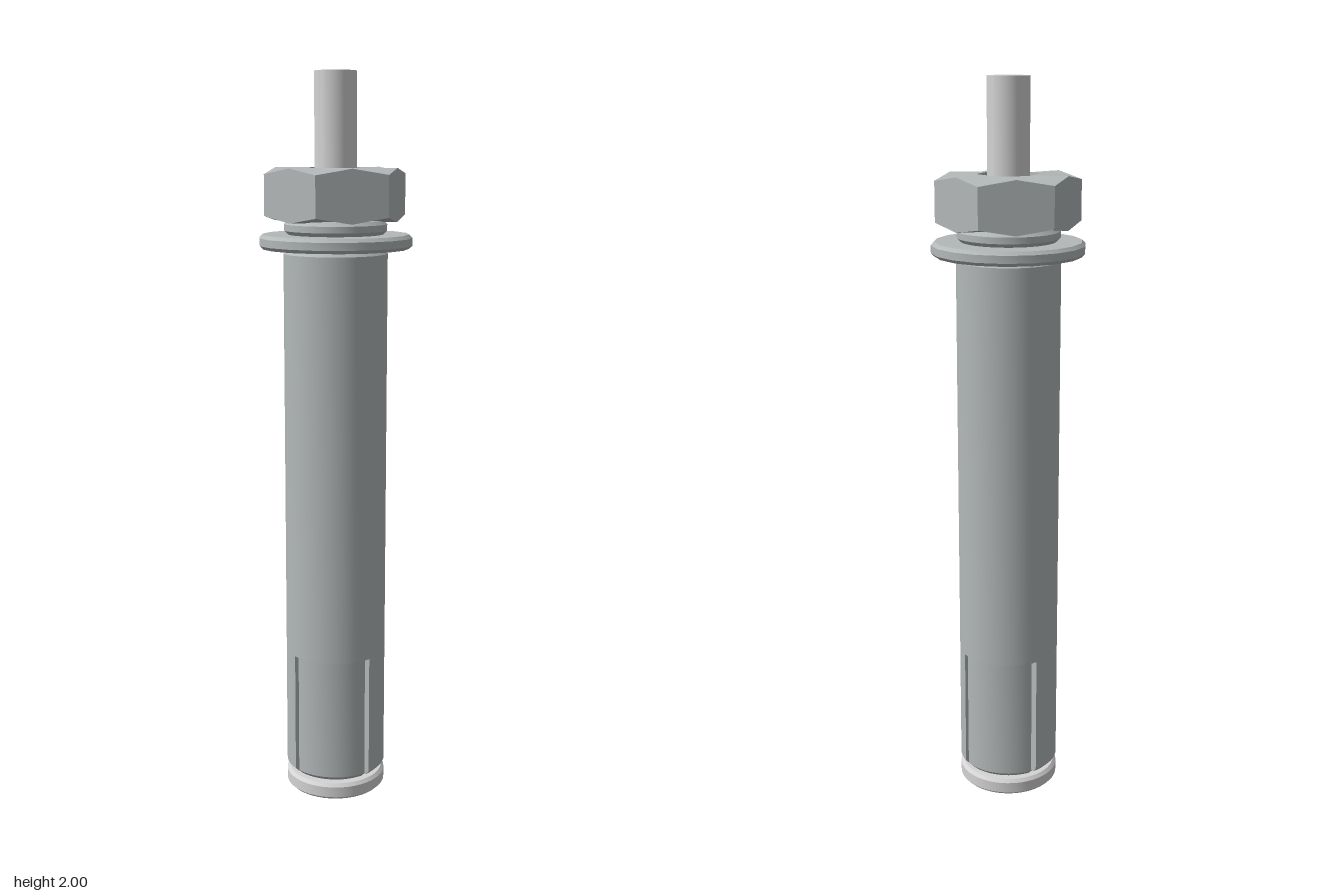
import * as THREE from 'three';
import { toCreasedNormals } from 'three/addons/utils/BufferGeometryUtils.js';

const zinc = new THREE.MeshStandardMaterial({ color: 0xb3b8b8, side: THREE.DoubleSide });
zinc.name = 'zinc grey';
const steel = new THREE.MeshStandardMaterial({ color: 0xd4d4d4 });
steel.name = 'light steel';

const vectors = (pts) => pts.map(([r, y]) => new THREE.Vector2(r, y));

// Turned part with crisp edges; the profile runs up the outside
function turned(name, pts, sides, material, start = Math.PI / 2, length = Math.PI * 2) {
  const geo = new THREE.LatheGeometry(vectors(pts), sides, start, length);
  const mesh = new THREE.Mesh(toCreasedNormals(geo, 0.5), material);
  mesh.name = name;
  return mesh;
}

// Ring with chamfered outer edges
function ringProfile(inner, outer, y0, y1, c) {
  return [
    [inner, y0], [outer - c, y0], [outer, y0 + c], [outer, y1 - c],
    [outer - c, y1], [inner, y1], [inner, y0],
  ];
}

// Hexagonal nut: a 12-sided ring pulled into a hexagon with lowered corners
function makeNut(y0, y1) {
  const mid = (y0 + y1) / 2;
  const profile = [[0.084, y0], [0.194, y0], [0.194, y1], [0.084, y1], [0.084, y0]];
  const geo = new THREE.LatheGeometry(vectors(profile), 12, Math.PI / 2);
  const p = geo.attributes.position;
  for (let i = 0; i < p.count; i++) {
    const x = p.getX(i), y = p.getY(i), z = p.getZ(i);
    if (Math.cos(6 * Math.atan2(z, x)) > 0) {
      if (Math.hypot(x, z) > 0.15) p.setY(i, y - Math.sign(y - mid) * 0.016);
    } else {
      const k = Math.cos(Math.PI / 6);
      p.setXYZ(i, x * k, y, z * k);
    }
  }
  const mesh = new THREE.Mesh(toCreasedNormals(geo, 0.5), zinc);
  mesh.name = 'hexNut';
  return mesh;
}

// Expansion sleeve: plain tube above, four fingers separated by slits below
function makeSleeve() {
  const group = new THREE.Group();
  group.name = 'expansionSleeve';
  const R = 0.14, inner = 0.112, bottom = 0.057, split = 0.41, top = 1.54, c = 0.012;
  group.add(turned('sleeveTube', [
    [inner, split], [R, split], [R, top - c], [R - c, top], [0.057, top],
    [0.057, top - 0.03], [inner, top - 0.03], [inner, split],
  ], 48, zinc));

  const finger = [[inner, split], [inner, bottom], [R - c, bottom], [R, bottom + c], [R, split]];
  const gap = 0.016 / R, offset = -0.1;
  for (let i = 0; i < 4; i++) {
    const start = offset + i * Math.PI / 2 + gap / 2;
    const length = Math.PI / 2 - gap;
    group.add(turned('sleeveFinger', finger, 12, zinc, start, length));
    // flat walls of the slits
    for (const phi of [start, start + length]) {
      const wall = new THREE.Mesh(new THREE.ShapeGeometry(new THREE.Shape(vectors(finger))), zinc);
      wall.rotation.y = phi - Math.PI / 2;
      wall.name = 'slitWall';
      group.add(wall);
    }
  }
  return group;
}

export function createModel() {
  const model = new THREE.Group();
  model.name = 'expansionAnchorBolt';

  // Rod with its flared foot
  model.add(turned('boltRod', [
    [0, 0], [0.132, 0], [0.14, 0.008], [0.14, 0.038], [0.132, 0.047], [0.11, 0.047],
    [0.11, 0.09], [0.056, 0.38], [0.056, 2], [0, 2],
  ], 48, steel));

  model.add(makeSleeve());
  model.add(turned('flatWasher', ringProfile(0.057, 0.206, 1.541, 1.579, 0.009), 18, zinc));
  model.add(turned('springWasher', ringProfile(0.057, 0.138, 1.579, 1.616, 0.01), 36, zinc));
  model.add(makeNut(1.613, 1.753));
  return model;
}
